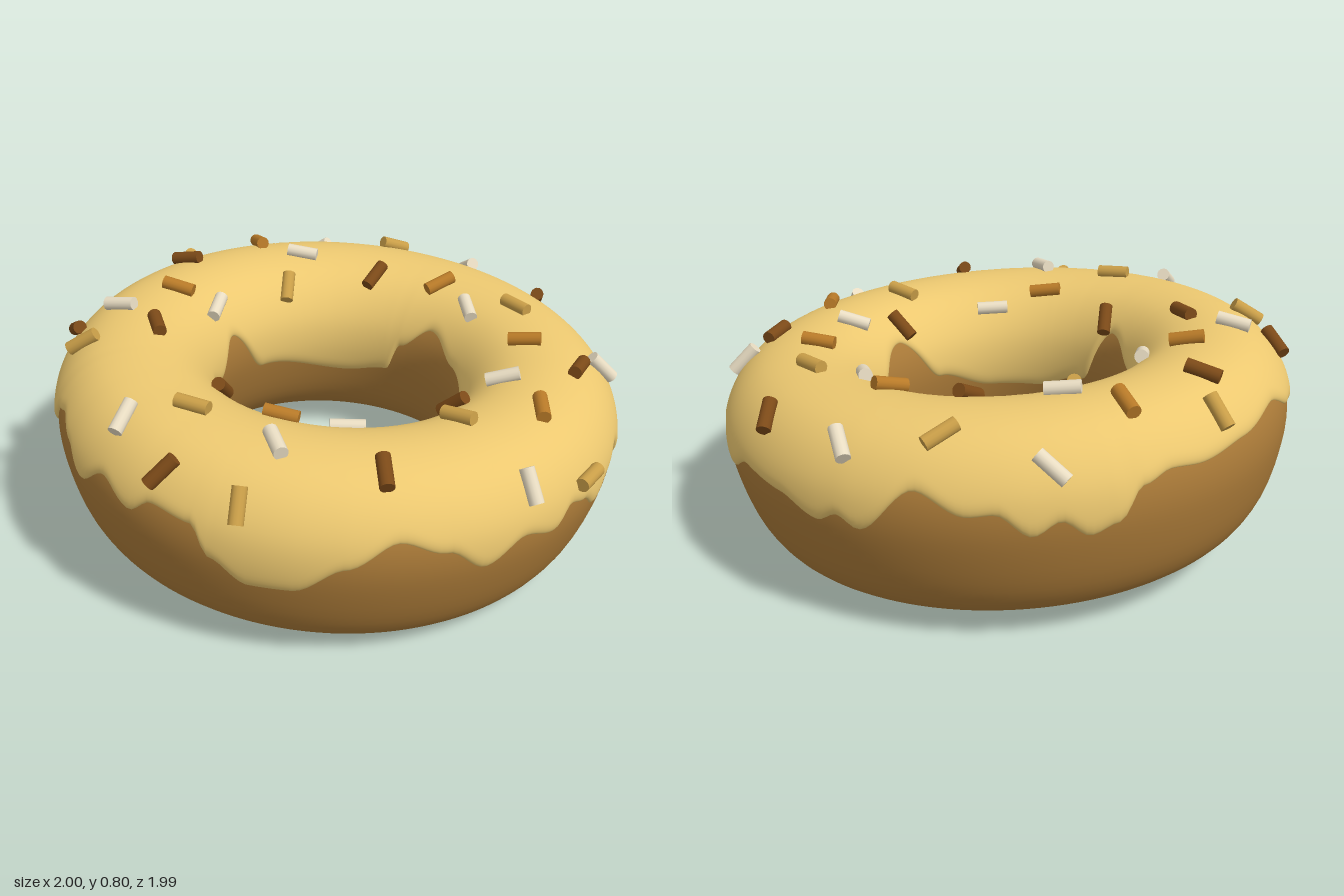
import * as THREE from 'three';

const RING = 0.715, THICK = 0.014, TILT_X = 0.033, TILT_Z = 0.055;

// Cross-section of the dough: [distance from the ring line, height], bottom to top
const half = [[0, 0.045], [0.08, 0.05], [0.15, 0.09], [0.21, 0.175], [0.257, 0.32],
  [0.272, 0.435], [0.255, 0.53], [0.2, 0.615], [0.12, 0.67], [0, 0.692]];
const loop = [...half, ...half.slice(1, -1).reverse().map(([d, y]) => [-d, y])];
const section = new THREE.CatmullRomCurve3(loop.map(([d, y]) => new THREE.Vector3(d, y, 0)), true);

// q runs 0 (bottom) -> 1 (top) up the outside, 1 -> 2 down the inside of the hole
function profile(q, offset = 0) {
  const u = (((q / 2) % 1) + 1) % 1;
  const p = section.getPoint(u), e = 0.002;
  const t = section.getPoint((u + e) % 1).sub(section.getPoint((u - e + 1) % 1)).normalize();
  return { r: RING + p.x + t.y * offset, y: p.y - t.x * offset, nr: t.y, ny: -t.x };
}

// Find q in [lo, hi] where a rising function of q crosses zero
function solve(f, lo, hi) {
  for (let i = 0; i < 24; i++) {
    const mid = (lo + hi) / 2;
    if (f(mid) < 0) lo = mid; else hi = mid;
  }
  return (lo + hi) / 2;
}

// Ring-shaped skin; at(angle, v) returns a point of the section
function ringSkin(around, across, at) {
  const pos = [], index = [], w = across + 1;
  for (let i = 0; i < around; i++) {
    const a = (i / around) * Math.PI * 2;
    for (let j = 0; j <= across; j++) {
      const { r, y } = at(a, j / across);
      pos.push(r * Math.cos(a), y, r * Math.sin(a));
      if (j === across) continue;
      const p = i * w + j, n = ((i + 1) % around) * w + j;
      index.push(p, p + 1, n, n, p + 1, n + 1);
    }
  }
  const g = new THREE.BufferGeometry();
  g.setAttribute('position', new THREE.Float32BufferAttribute(pos, 3));
  g.setIndex(index);
  g.computeVertexNormals();
  return g;
}

// Icing drip heights as [degrees, height], 0 = +x and 90 = +z
const outerDrips = [[4, 0.41], [12, 0.35], [20, 0.44], [29, 0.495], [38, 0.42], [47, 0.33], [55, 0.33],
  [62, 0.41], [66, 0.51], [75, 0.53], [80, 0.475], [88, 0.535], [96, 0.455], [102, 0.53], [109, 0.58],
  [113, 0.56], [118, 0.47], [128, 0.52], [137, 0.48], [148, 0.54], [159, 0.61], [173, 0.58], [185, 0.56],
  [192, 0.57], [198, 0.54], [203, 0.44], [208, 0.41], [213, 0.465], [218, 0.42], [224, 0.49], [229, 0.48],
  [238, 0.54], [249, 0.39], [253, 0.42], [258, 0.38], [267, 0.42], [280, 0.43], [290, 0.36], [300, 0.43],
  [310, 0.36], [318, 0.29], [327, 0.43], [335, 0.39], [341, 0.34], [346, 0.4], [351, 0.425], [356, 0.37]];
const innerDrips = [[6, 0.38], [33, 0.31], [55, 0.31], [82, 0.375], [100, 0.59], [124, 0.52], [142, 0.46],
  [160, 0.57], [179, 0.39], [225, 0.31], [245, 0.34], [252, 0.46], [267, 0.55], [288, 0.48], [315, 0.44],
  [346, 0.55]];

function dripHeight(knots, angle, r) {
  const deg = THREE.MathUtils.radToDeg(angle);
  let k = knots.findIndex(([d]) => d > deg);
  if (k < 0) k = 0;
  const b = knots[k], a = knots[(k + knots.length - 1) % knots.length];
  const span = (b[0] - a[0] + 360) % 360;
  const t = THREE.MathUtils.smoothstep(((deg - a[0] + 360) % 360) / span, 0, 1);
  // heights are measured level, so undo the tilt of the ring
  return a[1] + (b[1] - a[1]) * t + r * (TILT_Z * Math.cos(angle) - TILT_X * Math.sin(angle));
}

function icingPoint(angle, v) {
  const edge = (knots, r) => {
    const y = dripHeight(knots, angle, r);
    return solve((q) => profile(q).y - y, 0.1, 0.98);
  };
  const a = edge(outerDrips, 0.985), b = 2 - edge(innerDrips, 0.44);
  const q = a + (b - a) * (1 - Math.cos(Math.PI * v)) / 2;
  // rounded lip that sinks into the dough
  const d = Math.min(1, Math.min(q - a, b - q) / 0.05);
  return profile(q, -0.002 + (THICK + 0.002) * Math.sqrt(Math.max(0, d * (2 - d))));
}

const CREAM = 0xe8dcc2, TAN = 0xc99e48, ORANGE = 0xb87a28, BROWN = 0x7c4a18;
// Sprinkles by colour: [x, z, heading in degrees seen from above]
const sprinkles = [
  [CREAM, [[-0.26, -0.88, 25], [0.61, -0.68, -55], [0.07, -0.56, 30], [-0.79, -0.53, -22], [-0.6, -0.29, -40],
    [0.53, -0.27, -45], [0.94, 0.03, 10], [-0.49, 0.2, 50], [0.4, 0.3, -52], [-0.6, 0.53, -28],
    [0.44, 0.62, 20], [0.01, 0.88, 62]]],
  [TAN, [[-0.51, -0.7, -75], [0.2, -0.67, 0], [-0.5, -0.14, 42], [0.95, -0.24, 75], [0.64, 0.05, -12],
    [-0.93, 0.03, 5], [0.13, 0.71, -27], [-0.49, 0.74, -48], [0.51, 0.8, 45]]],
  [ORANGE, [[-0.12, -0.59, -78], [0.4, -0.51, -38], [-0.79, -0.22, 22], [0.75, -0.21, 40], [-0.6, 0.29, -35],
    [0.28, 0.48, -38]]],
  [BROWN, [[0.09, -0.91, 50], [0.63, -0.53, 65], [-0.34, -0.45, 75], [0.5, -0.08, -18], [-0.81, 0.11, -25],
    [0.72, 0.43, 32], [-0.04, 0.49, 55], [-0.4, 0.51, 22], [-0.67, 0.66, 18], [0.26, 0.9, -70]]],
];

function placeSprinkle(mesh, x, z, heading) {
  const r = Math.hypot(x, z), c = x / r, s = z / r;
  const q = r > RING
    ? solve((k) => r - profile(k, THICK).r, 0.58, 1)
    : solve((k) => r - profile(k, THICK).r, 1, 1.42);
  const p = profile(q, THICK + 0.014);
  const h = THREE.MathUtils.degToRad(heading);
  const normal = new THREE.Vector3(p.nr * c, p.ny, p.nr * s);
  const along = new THREE.Vector3(Math.cos(h), 0, Math.sin(h));
  along.y = -along.dot(normal) / Math.max(0.15, normal.y);
  mesh.position.set(p.r * c, p.y, p.r * s);
  mesh.quaternion.setFromUnitVectors(new THREE.Vector3(0, 1, 0), along.normalize());
}

export function createModel() {
  const model = new THREE.Group();
  model.name = 'donut';
  const ring = new THREE.Group();
  ring.name = 'tiltedRing';
  model.add(ring);
  const add = (name, geometry, color) => {
    const mesh = new THREE.Mesh(geometry, new THREE.MeshStandardMaterial({ color }));
    mesh.name = name;
    ring.add(mesh);
    return mesh;
  };

  add('dough', ringSkin(128, 64, (a, v) => profile(v * 2)), 0xaa7a38);
  add('icing', ringSkin(300, 48, icingPoint), 0xecc870);

  const rod = new THREE.CylinderGeometry(0.024, 0.024, 0.115, 14);
  for (const [color, list] of sprinkles) {
    for (const [x, z, heading] of list) placeSprinkle(add('sprinkle', rod, color), x, z, heading);
  }

  // Lean the whole ring about its middle, then rest it on the ground
  ring.children.forEach((m) => { m.position.y -= 0.4; });
  ring.rotation.set(-TILT_X, 0, -TILT_Z);
  model.updateMatrixWorld(true);
  ring.position.y = -new THREE.Box3().setFromObject(model, true).min.y;
  return model;
}
